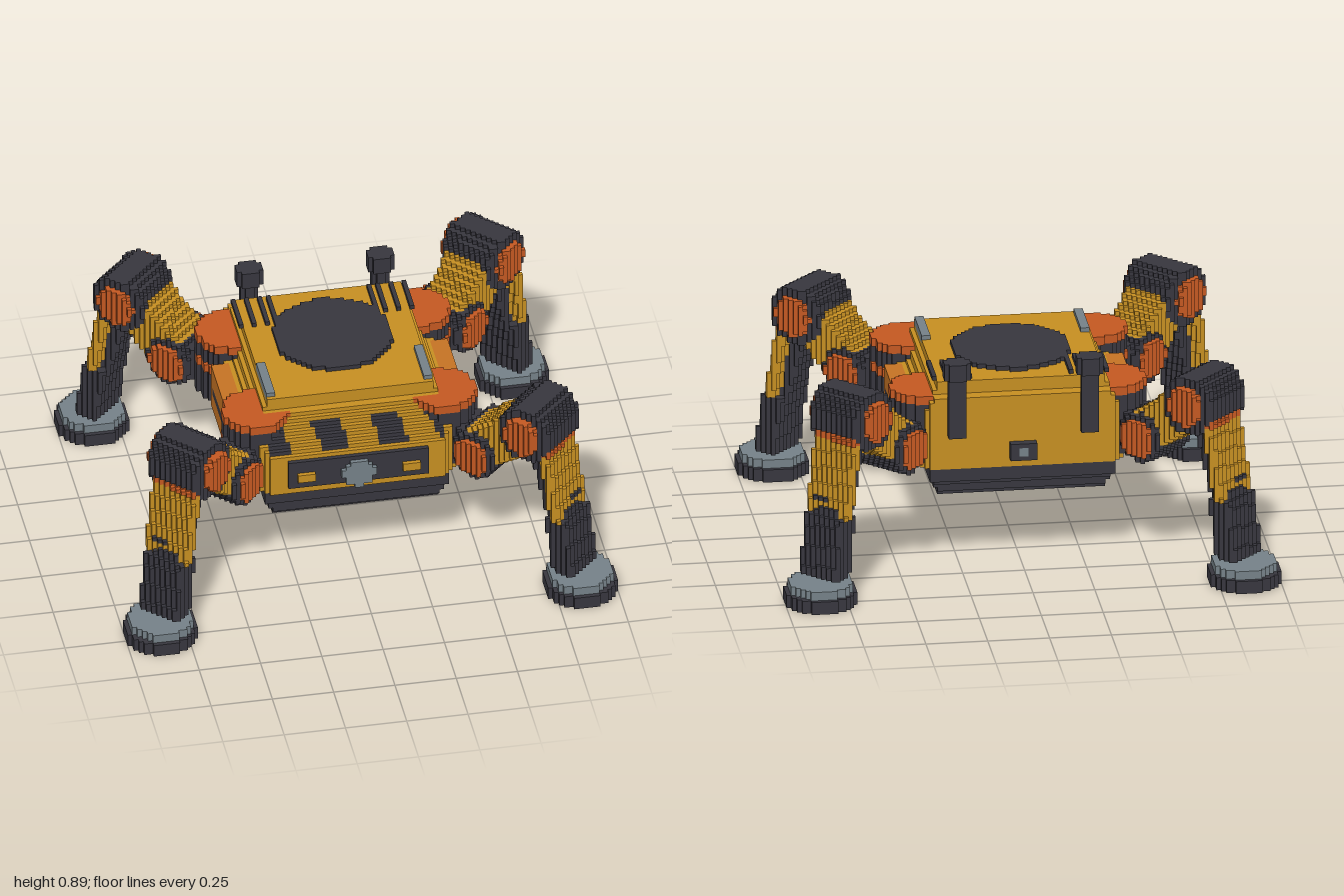
import * as THREE from 'three';

// Cubic-cell construction: parts are painted into one grid, then each gets its own mesh.
const CELL = 2 / 112;
const SIZE = [112, 52, 104];
const ORIGIN = [-56, 0, -52];

const mat = (name, color) => {
  const m = new THREE.MeshStandardMaterial({ color });
  m.name = name;
  return m;
};

export function createModel() {
  const yellow = mat('hull yellow', 0xc99122);
  const dark = mat('charcoal', 0x38373f);
  const orange = mat('joint orange', 0xc75a22);
  const amber = mat('panel amber', 0xc87525);
  const grey = mat('steel grey', 0x77838a);

  const grid = new Uint8Array(SIZE[0] * SIZE[1] * SIZE[2]);
  const parts = [null];
  const index = (i, j, k) => (i * SIZE[1] + j) * SIZE[2] + k;

  // Later parts replace earlier ones where they overlap
  function paint(parent, name, material, inside) {
    const id = parts.length;
    parts.push({ parent, name, material, pos: [], nor: [] });
    for (let i = 0; i < SIZE[0]; i++) {
      const x = (i + ORIGIN[0] + 0.5) * CELL;
      for (let j = 0; j < SIZE[1]; j++) {
        const y = (j + 0.5) * CELL;
        for (let k = 0; k < SIZE[2]; k++) {
          if (inside(x, y, (k + ORIGIN[2] + 0.5) * CELL)) grid[index(i, j, k)] = id;
        }
      }
    }
  }

  // Shape rules
  const within = (v, a, b) => v >= a && v <= b;
  const box = (x0, x1, y0, y1, z0, z1) => (x, y, z) =>
    within(x, x0, x1) && within(y, y0, y1) && within(z, z0, z1);
  const pair = (rule) => (x, y, z) => rule(Math.abs(x), y, z);
  const post = (cx, cz, r, y0, y1) => (x, y, z) =>
    within(y, y0, y1) && Math.hypot(x - cx, z - cz) <= r;

  const model = new THREE.Group();
  model.name = 'fourLeggedWalker';
  const group = (name) => {
    const g = new THREE.Group();
    g.name = name;
    model.add(g);
    return g;
  };

  // Main hull: tapered sides, sloping nose, clipped corners
  const body = group('body');
  const hull = (x, y, z) => {
    const ax = Math.abs(x);
    return within(y, 0.43, 0.73) && ax <= 0.412 - Math.max(0, y - 0.63) * 0.5 &&
      z >= -0.45 && z <= 0.465 - Math.max(0, y - 0.6) && ax + Math.abs(z) <= 0.82;
  };
  paint(body, 'belly', dark, (x, y, z) => {
    const grow = y < 0.375 ? (y - 0.31) * 0.5 : 0.045;
    return within(y, 0.31, 0.43) && Math.abs(x) <= 0.33 + grow &&
      within(z, -0.395 - grow, 0.415 + grow * 0.7);
  });
  paint(body, 'hull', yellow, hull);
  paint(body, 'hazardStripes', dark, (x, y, z) => {
    const phase = (((x + 0.18 - (0.7 - y) * 0.45) % 0.24) + 0.24) % 0.24;
    return hull(x, y, z) && within(y, 0.608, 0.697) && z > 0.32 && Math.abs(x) < 0.35 && phase < 0.115;
  });

  // Legs, in local terms: u runs outward from the hip, w across the leg
  const C = 0.726, S = 0.688, HIP_X = 0.38, HIP_Z = 0.28;
  const beam = (u0, y0, u1, y1, half, width) => {
    const du = u1 - u0, dy = y1 - y0, len = Math.hypot(du, dy);
    return (u, y, w) => {
      const along = ((u - u0) * du + (y - y0) * dy) / len;
      const off = ((u - u0) * dy - (y - y0) * du) / len;
      return within(along, 0, len) && Math.abs(off) <= half && Math.abs(w) <= width;
    };
  };
  const axle = (cu, cy, r, w0, w1) => (u, y, w) =>
    within(Math.abs(w), w0, w1) && Math.hypot(u - cu, y - cy) <= r;
  const drum = (cu, r, y0, y1) => (u, y, w) =>
    within(y, y0, y1) && Math.hypot(u - cu, w) <= r;

  const legParts = [
    ['hipDrum', dark, drum(0, 0.13, 0.45, 0.7)],
    ['hipBand', orange, drum(0, 0.134, 0.59, 0.62)],
    ['hipCap', orange, drum(0, 0.134, 0.696, 0.73)],
    ['hipLink', dark, beam(0.08, 0.55, 0.22, 0.55, 0.07, 0.08)],
    ['hipJoint', dark, axle(0.22, 0.552, 0.1, 0, 0.12)],
    ['thigh', yellow, beam(0.22, 0.565, 0.46, 0.745, 0.085, 0.1)],
    ['hipJointCaps', orange, axle(0.22, 0.552, 0.078, 0.12, 0.148)],
    ['shinCore', dark, beam(0.48, 0.7, 0.59, 0.33, 0.045, 0.065)],
    ['shinPlate', yellow, beam(0.535, 0.69, 0.6, 0.35, 0.02, 0.108)],
    ['kneeJoint', dark, axle(0.46, 0.742, 0.118, 0, 0.12)],
    ['kneeGuard', orange, beam(0.536, 0.725, 0.545, 0.655, 0.026, 0.1)],
    ['kneeJointCaps', orange, axle(0.46, 0.745, 0.078, 0.12, 0.148)],
    ['lowerShin', dark, (u, y, w) => within(y, 0.107, 0.365) &&
      Math.abs(u - 0.645 + y * 0.15) <= 0.048 && Math.abs(w) <= 0.096],
    ['footSole', dark, drum(0.654, 0.146, 0, 0.054)],
    ['footPad', grey, drum(0.654, 0.13, 0.054, 0.09)],
  ];
  for (const sz of [1, -1]) {
    for (const sx of [1, -1]) {
      const leg = group((sz > 0 ? 'front' : 'back') + (sx > 0 ? 'Left' : 'Right') + 'Leg');
      for (const [name, material, rule] of legParts) {
        paint(leg, name, material, (x, y, z) => {
          if (x * sx < 0 || z * sz < 0) return false;
          const dx = x * sx - HIP_X, dz = z * sz - HIP_Z;
          return rule(dx * C + dz * S, y, dz * C - dx * S);
        });
      }
    }
  }

  // Roof deck and fittings
  paint(body, 'deck', yellow, (x, y, z) => {
    const step = Math.max(0, 0.765 - y) * 0.5;
    return within(y, 0.7, 0.785) && Math.abs(x) <= 0.345 + step && within(z, -0.385 - step, 0.295 + step);
  });
  paint(body, 'roofDisc', dark, post(0, -0.075, 0.24, 0.78, 0.81));
  for (const x of [0.205, 0.241, 0.295, 0.348]) {
    paint(body, 'ventSlats', dark, pair(box(x - 0.008, x + 0.008, 0.78, 0.81, -0.38, -0.205)));
  }
  paint(body, 'roofRails', grey, pair(box(0.305, 0.34, 0.765, 0.81, 0.08, 0.29)));

  // Nose panel with sensor and lamps
  paint(body, 'nosePanel', dark, box(-0.29, 0.29, 0.465, 0.585, 0.455, 0.484));
  paint(body, 'lamps', yellow, pair(box(0.185, 0.245, 0.5, 0.536, 0.465, 0.5)));
  paint(body, 'sensor', grey, (x, y, z) => within(z, 0.465, 0.502) && Math.hypot(x, y - 0.515) <= 0.064);

  // Side panels with a slot
  paint(body, 'sidePanelFrames', yellow, pair(box(0.4, 0.43, 0.44, 0.66, -0.16, 0.16)));
  paint(body, 'sidePanels', amber, pair(box(0.41, 0.485, 0.465, 0.66, -0.143, 0.143)));
  paint(body, 'sideSlots', dark, pair(box(0.465, 0.485, 0.535, 0.57, -0.1, 0.1)));

  // Rear port and masts
  paint(body, 'rearPort', dark, box(-0.05, 0.05, 0.46, 0.54, -0.49, -0.44));
  paint(body, 'rearPortLens', grey, box(-0.019, 0.019, 0.48, 0.52, -0.49, -0.47));
  paint(body, 'masts', dark, pair(post(0.268, -0.46, 0.032, 0.57, 0.84)));
  paint(body, 'mastCaps', dark, pair(post(0.268, -0.455, 0.05, 0.83, 0.885)));

  // Emit the exposed face of every cell
  const filled = (c) => c.every((v, d) => v >= 0 && v < SIZE[d]) && grid[index(...c)] > 0;
  const QUAD = [[0, 0], [1, 0], [1, 1], [0, 0], [1, 1], [0, 1]];
  for (let i = 0; i < SIZE[0]; i++) for (let j = 0; j < SIZE[1]; j++) for (let k = 0; k < SIZE[2]; k++) {
    const part = parts[grid[index(i, j, k)]];
    if (!part) continue;
    for (let d = 0; d < 3; d++) for (const s of [1, -1]) {
      const next = [i, j, k];
      next[d] += s;
      if (filled(next)) continue;
      const a = (d + 1) % 3, b = (d + 2) % 3;
      for (const [p, q] of QUAD) {
        const v = [i, j, k];
        v[d] += s > 0 ? 1 : 0;
        v[a] += s > 0 ? p : q;
        v[b] += s > 0 ? q : p;
        const n = [0, 0, 0];
        n[d] = s;
        part.pos.push(...v.map((c, e) => (c + ORIGIN[e]) * CELL));
        part.nor.push(...n);
      }
    }
  }
  for (const part of parts) {
    if (!part || !part.pos.length) continue;
    const geometry = new THREE.BufferGeometry();
    geometry.setAttribute('position', new THREE.Float32BufferAttribute(part.pos, 3));
    geometry.setAttribute('normal', new THREE.Float32BufferAttribute(part.nor, 3));
    const mesh = new THREE.Mesh(geometry, part.material);
    mesh.name = part.name;
    part.parent.add(mesh);
  }
  return model;
}
